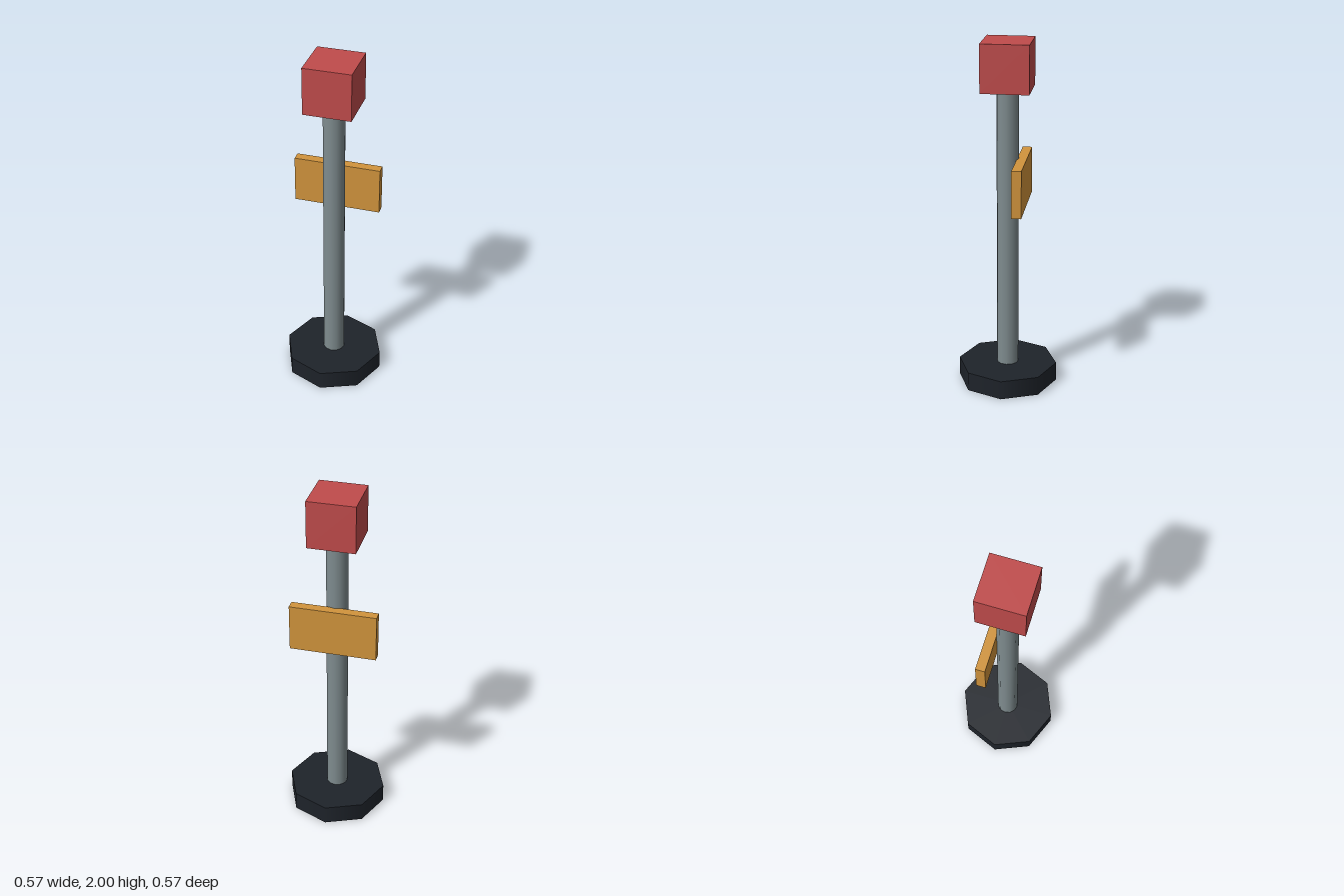
import * as THREE from 'three';

export function createModel() {
  const model = new THREE.Group();

  const add = (name, geometry, color, x, y, z) => {
    const mesh = new THREE.Mesh(geometry, new THREE.MeshStandardMaterial({ color }));
    mesh.name = name;
    mesh.position.set(x, y, z);
    model.add(mesh);
  };

  // Octagonal foot with a corner on each axis
  add('base', new THREE.CylinderGeometry(0.285, 0.285, 0.11, 8), 0x1e232a, 0, 0.055, 0);

  // Post from the foot up to the lamp box
  add('post', new THREE.CylinderGeometry(0.062, 0.062, 1.64, 12), 0x7f8c8f, 0, 0.925, 0);

  // Plate fixed to the back of the post
  add('signPlate', new THREE.BoxGeometry(0.49, 0.268, 0.054), 0xd1943c, 0, 1.209, -0.08);

  // Cube on top
  add('topBox', new THREE.BoxGeometry(0.268, 0.268, 0.268), 0xc04b4b, 0, 1.866, 0);

  return model;
}
